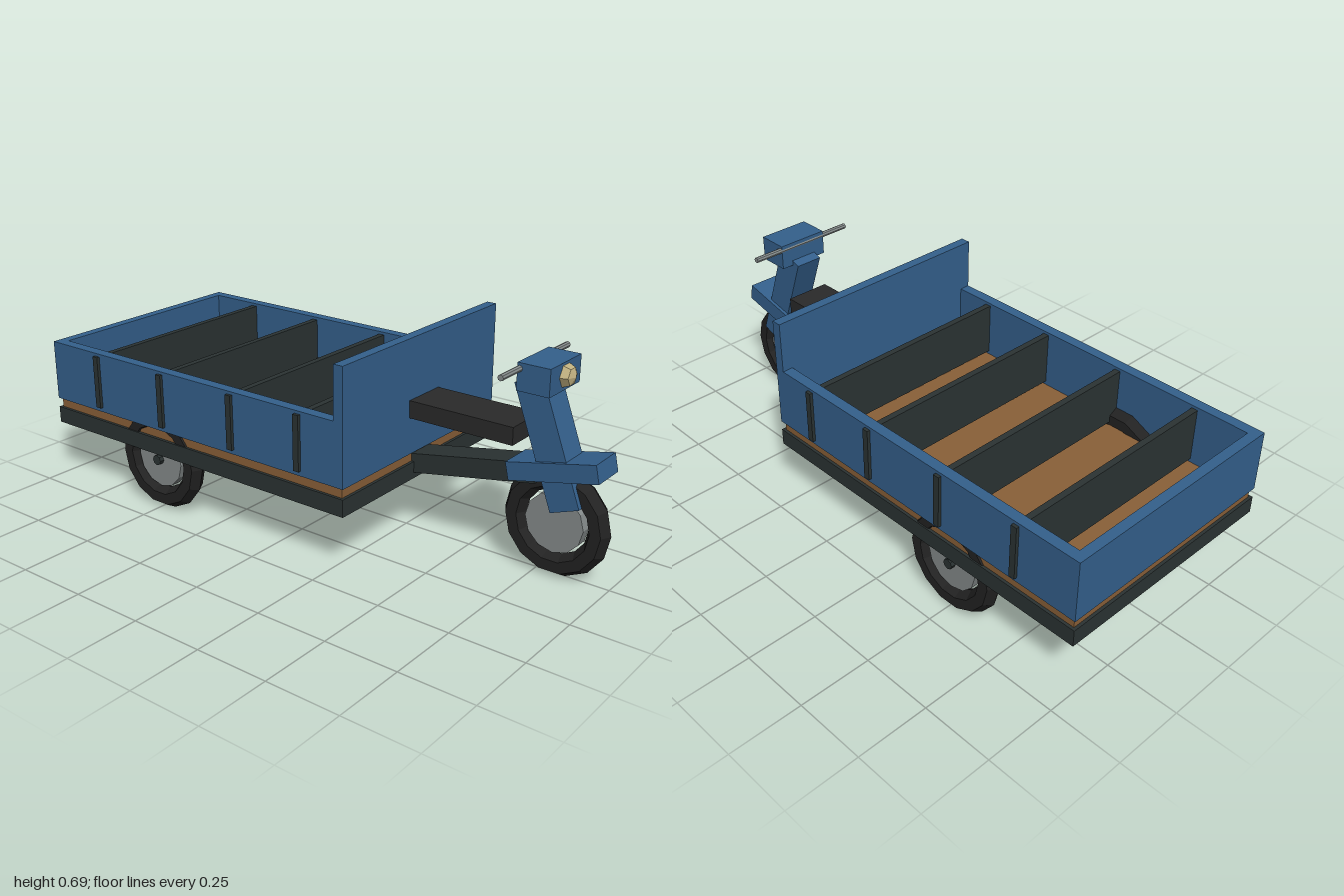
import * as THREE from 'three';

const mat = (color) => new THREE.MeshStandardMaterial({ color, flatShading: true });

export function createModel() {
  const group = new THREE.Group();
  const blue = mat(0x34608c), wood = mat(0x8a6038), iron = mat(0x2b3333);
  const rubber = mat(0x222222), leather = mat(0x2a2a2a), steel = mat(0x858b8b), glass = mat(0xc0b080);

  const add = (name, geometry, material, x, y, z, parent = group) => {
    const mesh = new THREE.Mesh(geometry, material);
    mesh.name = name;
    mesh.position.set(x, y, z);
    parent.add(mesh);
    return mesh;
  };
  // Box given by its lower and upper corner, symmetric in z
  const slab = (name, material, x0, x1, y0, y1, halfZ) =>
    add(name, new THREE.BoxGeometry(x1 - x0, y1 - y0, 2 * halfZ), material, (x0 + x1) / 2, (y0 + y1) / 2, 0);
  // Box tilted in the side plane
  const tilted = (name, material, length, thick, halfZ, x, y, angle) => {
    const mesh = add(name, new THREE.BoxGeometry(length, thick, 2 * halfZ), material, x, y, 0);
    mesh.rotation.z = angle;
  };

  // Chassis and cargo bed
  slab('chassis', iron, -1, 0.31, 0.205, 0.264, 0.425);
  slab('bedFloor', wood, -0.99, 0.3, 0.262, 0.302, 0.415);
  slab('backWall', blue, -1, -0.965, 0.298, 0.512, 0.425);
  slab('frontWall', blue, 0.275, 0.31, 0.298, 0.69, 0.425);
  for (const side of [-1, 1]) {
    add('sideWall', new THREE.BoxGeometry(1.24, 0.214, 0.038), blue, -0.345, 0.405, side * 0.406);
  }

  // Partitions whose ends show through the side walls
  for (const x of [-0.77, -0.46, -0.145, 0.135]) {
    slab('partition', iron, x - 0.011, x + 0.011, 0.315, 0.502, 0.436);
  }

  // Wheels: hexagonal tyre section with a flat disc
  const wheel = (name, x, z) => {
    const w = new THREE.Group();
    w.name = name;
    w.position.set(x, 0.182, z);
    add('tyre', new THREE.TorusGeometry(0.1445, 0.0375, 6, 14), rubber, 0, 0, 0, w);
    add('disc', new THREE.CylinderGeometry(0.1, 0.1, 0.04, 12).rotateX(Math.PI / 2), steel, 0, 0, 0, w);
    group.add(w);
  };
  wheel('rearWheel', -0.5, 0.388);
  wheel('rearWheel', -0.5, -0.388);
  wheel('frontWheel', 0.81, 0);
  add('rearAxle', new THREE.CylinderGeometry(0.018, 0.018, 0.85, 8).rotateX(Math.PI / 2), iron, -0.5, 0.182, 0);

  // Seat and strut to the steering column
  slab('seat', leather, 0.3, 0.687, 0.425, 0.484, 0.081);
  tilted('strut', iron, 0.48, 0.066, 0.05, 0.51, 0.296, 0.185);

  // Steering column, mudguard and handlebar
  tilted('steeringColumn', blue, 0.413, 0.102, 0.05, 0.785, 0.438, -1.214);
  tilted('mudguard', blue, 0.308, 0.06, 0.062, 0.811, 0.363, 0.22);
  slab('headlampBox', blue, 0.696, 0.806, 0.607, 0.695, 0.093);
  add('handlebar', new THREE.CylinderGeometry(0.01, 0.01, 0.4, 8).rotateX(Math.PI / 2), steel, 0.704, 0.677, 0);
  const lampShape = new THREE.SphereGeometry(0.041, 6, 4).rotateY(Math.PI / 2).rotateZ(-Math.PI / 2);
  add('headlamp', lampShape, glass, 0.8, 0.653, 0);

  return group;
}
